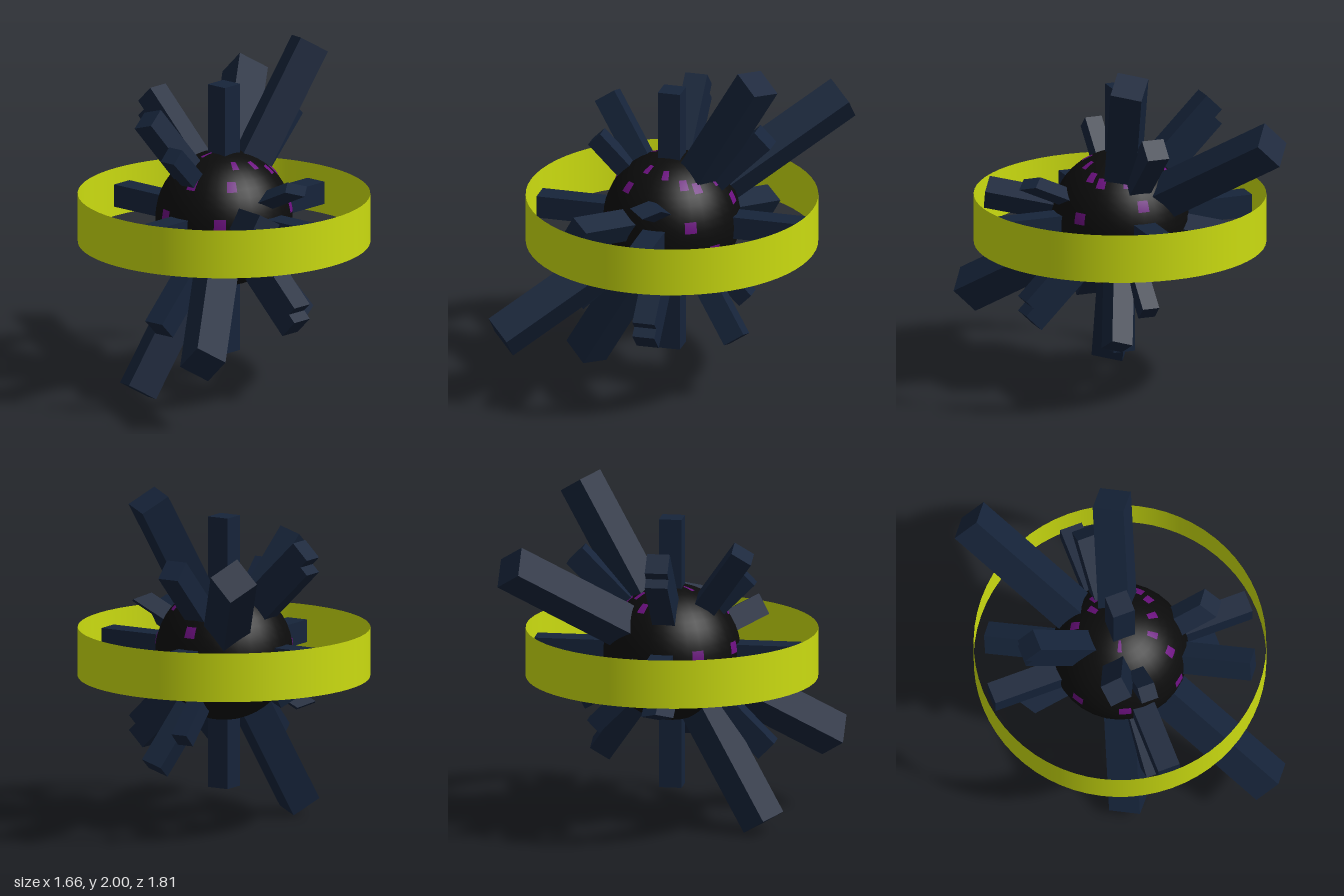
import * as THREE from 'three';

const R = 0.39;
const paint = (color, side = THREE.FrontSide) => new THREE.MeshStandardMaterial({ color, side });

export function createModel() {
  const model = new THREE.Group();
  const barMat = paint(0x16243a);
  const coreMat = paint(0x0c0c0c);
  const patchMat = paint(0x6c1080);
  const ringMat = paint(0xcbdc10, THREE.DoubleSide);

  const body = new THREE.Group();
  body.name = 'body';
  body.position.y = 1;
  model.add(body);

  // Round core
  const core = new THREE.Mesh(new THREE.SphereGeometry(R, 32, 24), coreMat);
  core.name = 'core';
  body.add(core);

  // Open band around the core
  const ring = new THREE.Mesh(new THREE.CylinderGeometry(0.83, 0.83, 0.28, 64, 1, true), ringMat);
  ring.name = 'ring';
  body.add(ring);

  // Square bar through the middle: centre of one end, direction of one side, width, twist about its axis
  function addBar(name, tip, edge, width, twist = 0) {
    const end = new THREE.Vector3(...tip);
    const y = end.clone().normalize();
    const x = new THREE.Vector3(...edge);
    x.addScaledVector(y, -x.dot(y)).normalize();
    const z = new THREE.Vector3().crossVectors(x, y);
    const geo = new THREE.BoxGeometry(width, 2 * end.length(), width);
    geo.rotateY(twist);
    geo.applyMatrix4(new THREE.Matrix4().makeBasis(x, y, z));
    const bar = new THREE.Mesh(geo, barMat);
    bar.name = name;
    body.add(bar);
    return bar;
  }

  // Two long thick bars
  addBar('longSteepBar', [0.16, 0.94, -0.55], [0.15, 0.03, 0.09], 0.18);
  addBar('longSlopingBar', [-0.595, 0.595, -0.84], [1, 1, 0], 0.188);

  // Bars along the three axes
  addBar('uprightBar', [0, 0.78, 0], [1, 0, 0], 0.13);
  addBar('sideBar', [0.78, 0, 0], [0, 0, 1], 0.13);
  addBar('frontBar', [0, 0, 0.78], [1, 0, 0], 0.13);

  // Diagonal bars
  addBar('diagonalBar', [-0.55, 0.55, 0], [0, 0, 1], 0.13);
  addBar('raisedDiagonalBar', [-0.55, 0.55, 0], [0, 0, 1], 0.13).position.y = 0.085;
  addBar('backDiagonalBar', [0, 0.55, -0.55], [1, 0, 0], 0.13);
  addBar('smallDiagonalBar', [0, 0.445, 0.445], [1, 0, 0], 0.1);
  addBar('frontLeaningBar', [-0.19, 0.625, 0.435], [0.125, 0.04, 0], 0.13);
  addBar('lowTwistedBar', [0.66, 0.115, 0.385], [0.04, 0.025, -0.075], 0.13, Math.PI / 4);
  addBar('flattenedBar', [0.55, 0.55, 0], [0, 0, 1], 0.13, Math.PI / 4).scale.y = 0.47;

  // Coloured patches lying on the core, each placed by a direction
  const spots = [
    [-0.22, 0.29, -0.13], [-0.1, 0.34, -0.17], [-0.06, 0.3, -0.24], [0.06, 0.28, -0.27],
    [0.19, 0.27, -0.2], [0.22, 0.29, -0.13], [0.2, 0.33, -0.02], [0.16, 0.34, 0.09],
    [-0.04, 0.37, 0.1], [0.23, 0.25, 0.19], [0.03, 0.25, 0.3], [0.24, 0.05, 0.3],
    [-0.11, 0.06, 0.37], [-0.27, -0.17, 0.22], [0.27, -0.23, 0.15], [0.13, -0.34, 0.13],
    [0.32, 0.08, -0.2], [0.22, -0.08, -0.31], [0.085, -0.155, -0.345], [-0.18, -0.08, -0.335],
    [0.35, -0.075, -0.155], [0, 0.16, -0.355], [0.19, -0.33, -0.095], [-0.33, 0.05, 0.2],
  ];
  const patches = new THREE.Group();
  patches.name = 'patches';
  for (const [x, y, z] of spots) {
    const around = Math.atan2(z, -x);
    const down = Math.acos(y / Math.hypot(x, y, z));
    const wide = 0.18, tall = 0.17;
    const patch = new THREE.Mesh(
      new THREE.SphereGeometry(R + 0.004, 3, 3, around - wide / 2, wide, down - tall / 2, tall), patchMat);
    patch.name = 'patch';
    patches.add(patch);
  }
  body.add(patches);

  return model;
}
